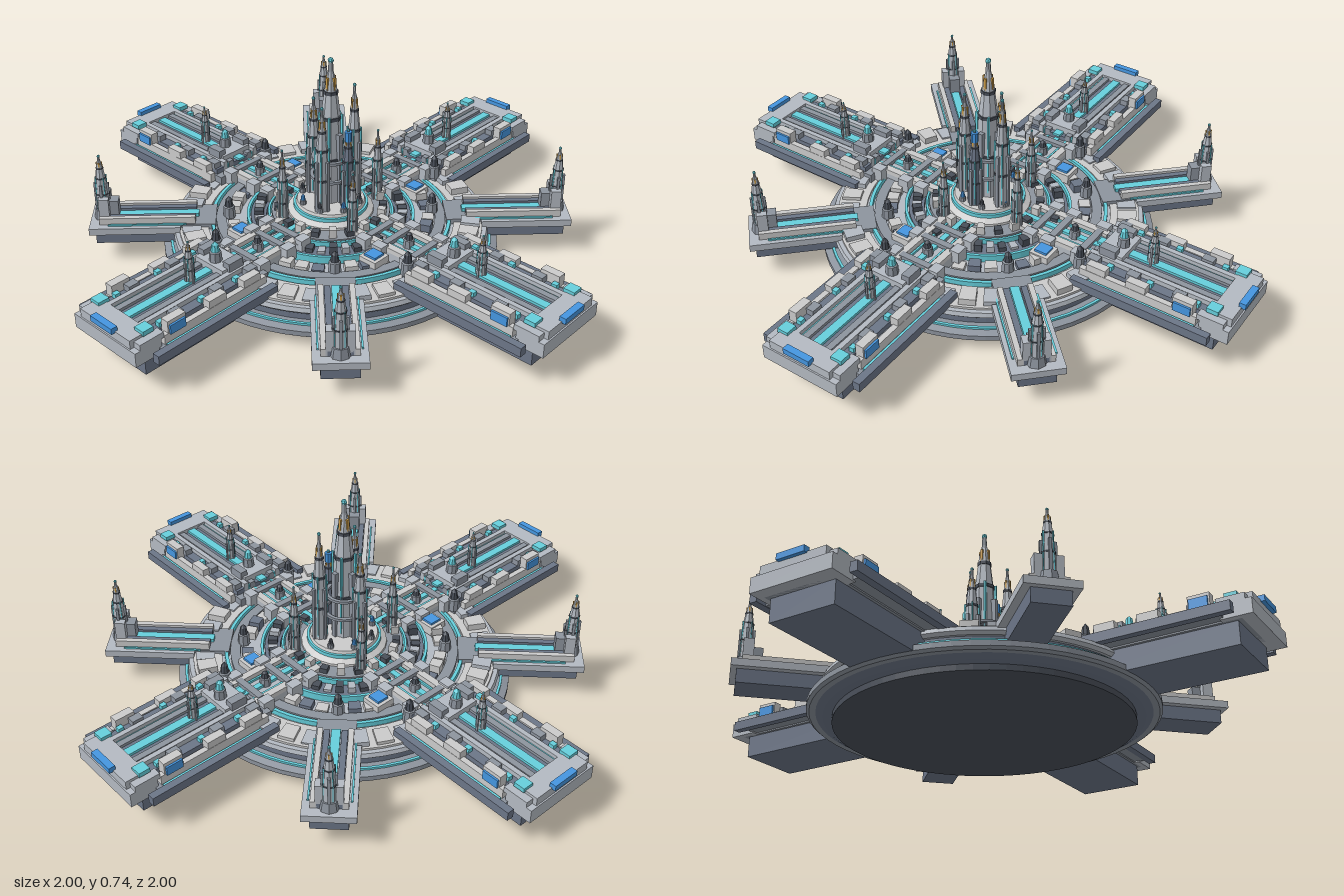
import * as THREE from 'three';

const mat = (color) => new THREE.MeshStandardMaterial({ color, flatShading: true });
const light = mat(0xcccccc), pale = mat(0xb4bac2), mid = mat(0x8d949e), slate = mat(0x6c7688);
const dark = mat(0x4a505a), cyan = mat(0x66cfdc), blue = mat(0x4596e0), gold = mat(0xc99a45);

function add(parent, name, geo, material, x = 0, y = 0, z = 0) {
  const m = new THREE.Mesh(geo, material);
  m.name = name;
  m.position.set(x, y, z);
  parent.add(m);
  return m;
}

// Box spanning y0..y1 and z0..z1, centred on x
function slab(parent, name, material, x, w, y0, y1, z0, z1) {
  return add(parent, name, new THREE.BoxGeometry(w, y1 - y0, z1 - z0), material, x, (y0 + y1) / 2, (z0 + z1) / 2);
}

// Mirrored pair of slabs
function pair(parent, name, material, x, ...rest) {
  for (const s of [-1, 1]) slab(parent, name, material, s * x, ...rest);
}

// Flat ring or ring sector between two radii
function ring(parent, name, material, r0, r1, y0, y1, a0 = 0, a1 = Math.PI * 2) {
  const s = new THREE.Shape();
  if (a1 - a0 > 6.28) {
    s.absarc(0, 0, r1, 0, Math.PI * 2);
    s.holes.push(new THREE.Path().absarc(0, 0, r0, 0, Math.PI * 2, true));
  } else {
    s.absarc(0, 0, r1, a0, a1, false);
    s.absarc(0, 0, r0, a1, a0, true);
  }
  const curveSegments = Math.max(3, Math.ceil((a1 - a0) * 5));
  const g = new THREE.ExtrudeGeometry(s, { depth: y1 - y0, bevelEnabled: false, curveSegments });
  return add(parent, name, g.rotateX(-Math.PI / 2), material, 0, y0, 0);
}

function lathe(parent, name, material, pts, sides, x = 0, y = 0, z = 0) {
  return add(parent, name, new THREE.LatheGeometry(pts.map((p) => new THREE.Vector2(...p)), sides), material, x, y, z);
}

// Tapered spire with ribs, collars, gold lights and a pointed cap
function spire(parent, name, x, z, y0, y1, r, body = pale) {
  const g = new THREE.Group(), h = y1 - y0;
  g.name = name;
  g.position.set(x, y0, z);
  parent.add(g);
  lathe(g, 'shaft', body, [[0, 0], [r, 0], [r * 0.95, h * 0.3], [r * 0.74, h * 0.62], [r * 0.5, h * 0.78],
    [r * 0.42, h * 0.84], [r * 0.2, h * 0.91], [r * 0.18, h * 0.97], [0, h]], 8);
  for (let i = 0; i < 4; i++) {
    const q = new THREE.Group();
    q.rotation.y = i * Math.PI / 2;
    g.add(q);
    slab(q, 'rib', mid, 0, r * 0.4, 0, h * 0.5, r * 0.7, r * 1.12);
    slab(q, 'lightStrip', cyan, r * 0.5, r * 0.13, h * 0.05, h * 0.62, r * 0.62, r * 0.82);
    slab(q, 'window', gold, 0, r * 0.22, h * 0.79, h * 0.87, r * 0.3, r * 0.46);
  }
  for (const [t, k] of [[0.32, 1.03], [0.6, 0.85], [0.77, 0.58]])
    add(g, 'collar', new THREE.CylinderGeometry(r * k, r * k, h * 0.022, 8), dark, 0, h * t, 0);
  add(g, 'beacon', new THREE.SphereGeometry(r * 0.24, 6, 4), cyan, 0, h - r * 0.26, 0);
  return g;
}

// Small domed turret
function turret(parent, x, z, y0, y1, r, cap = dark) {
  const h = y1 - y0;
  lathe(parent, 'turret', mid, [[0, 0], [r, 0], [r * 0.9, h * 0.5], [r * 0.6, h * 0.55], [0, h * 0.6]], 8, x, y0, z);
  lathe(parent, 'turretCap', cap, [[0, h * 0.5], [r * 0.7, h * 0.52], [r * 0.5, h * 0.85], [0, h]], 8, x, y0, z);
}

// Large pier, running outward along +z
function pier() {
  const g = new THREE.Group();
  g.name = 'pier';
  slab(g, 'hull', slate, 0, 0.23, 0.04, 0.115, 0.4, 0.935);
  slab(g, 'deck', mid, 0, 0.25, 0.115, 0.16, 0.43, 0.95);
  slab(g, 'endDeck', pale, 0, 0.29, 0.115, 0.165, 0.89, 0.99);
  slab(g, 'endBlock', pale, 0, 0.235, 0.165, 0.195, 0.91, 0.985);
  slab(g, 'endWindow', blue, 0, 0.1, 0.19, 0.21, 0.975, 0.998);
  pair(g, 'endHorn', pale, 0.13, 0.03, 0.165, 0.185, 0.88, 0.97);
  pair(g, 'cornerLight', cyan, 0.105, 0.04, 0.19, 0.206, 0.9, 0.94);
  pair(g, 'sideSkirt', slate, 0.177, 0.026, 0.118, 0.15, 0.45, 0.94);
  pair(g, 'skirtBracket', mid, 0.14, 0.06, 0.12, 0.138, 0.47, 0.9);
  pair(g, 'sideStrip', cyan, 0.158, 0.008, 0.138, 0.146, 0.5, 0.88);
  pair(g, 'outerWall', light, 0.138, 0.02, 0.138, 0.172, 0.46, 0.88);
  pair(g, 'terrace', slate, 0.1, 0.035, 0.16, 0.178, 0.46, 0.91);
  pair(g, 'innerWall', pale, 0.074, 0.018, 0.16, 0.195, 0.46, 0.92);
  pair(g, 'innerRail', mid, 0.045, 0.022, 0.16, 0.188, 0.46, 0.92);
  pair(g, 'trackLight', cyan, 0.06, 0.006, 0.16, 0.183, 0.46, 0.92);
  slab(g, 'avenue', slate, 0, 0.07, 0.16, 0.178, 0.46, 0.92);
  slab(g, 'avenueLight', cyan, 0, 0.03, 0.178, 0.187, 0.45, 0.92);
  // Buildings along both walls
  for (const z of [0.52, 0.665, 0.83]) {
    pair(g, 'wallHouse', light, 0.132, 0.03, 0.165, z === 0.83 ? 0.213 : 0.198, z - 0.035, z + 0.035);
    pair(g, 'wallRoof', mid, 0.104, 0.03, 0.178, 0.2, z - 0.05, z - 0.01);
    pair(g, 'wallLamp', cyan, 0.104, 0.018, 0.178, 0.194, z + 0.02, z + 0.04);
  }
  pair(g, 'sideWindow', blue, 0.15, 0.008, 0.168, 0.2, 0.8, 0.86);
  // Gatehouse and spires
  slab(g, 'gatehouse', pale, 0, 0.13, 0.16, 0.205, 0.48, 0.57);
  pair(g, 'gateTower', mid, 0.06, 0.03, 0.16, 0.225, 0.49, 0.55);
  turret(g, 0, 0.54, 0.2, 0.275, 0.022, cyan);
  spire(g, 'pierSpire', 0, 0.65, 0.178, 0.33, 0.017);
  turret(g, -0.11, 0.44, 0.14, 0.23, 0.022);
  return g;
}

// Causeway from the centre to a pier, with the plaza buildings beside it
function causeway() {
  const g = new THREE.Group();
  g.name = 'causeway';
  slab(g, 'road', pale, 0, 0.15, 0.11, 0.155, 0.13, 0.47);
  pair(g, 'roadWall', light, 0.062, 0.026, 0.155, 0.172, 0.17, 0.45);
  pair(g, 'roadStrip', cyan, 0.038, 0.007, 0.155, 0.163, 0.14, 0.47);
  slab(g, 'roadLight', cyan, 0, 0.02, 0.155, 0.165, 0.14, 0.47);
  for (const z of [0.23, 0.3, 0.42]) {
    pair(g, 'roadHouse', pale, 0.085, 0.036, 0.13, 0.18, z - 0.022, z + 0.022);
    slab(g, 'roadBridge', mid, 0, 0.12, 0.16, 0.175, z - 0.012, z + 0.012);
  }
  turret(g, 0, 0.355, 0.155, 0.212, 0.02);
  slab(g, 'landingBlock', light, -0.125, 0.07, 0.125, 0.16, 0.275, 0.345);
  slab(g, 'landingPad', blue, -0.125, 0.045, 0.16, 0.168, 0.287, 0.333);
  return g;
}

// Narrow pier between the large ones, running outward along +z
function smallPier() {
  const g = new THREE.Group();
  g.name = 'smallPier';
  slab(g, 'hull', slate, 0, 0.12, 0.068, 0.118, 0.4, 0.815);
  slab(g, 'deck', pale, 0, 0.17, 0.115, 0.14, 0.52, 0.834);
  slab(g, 'deckRoot', mid, 0, 0.13, 0.115, 0.14, 0.4, 0.53);
  pair(g, 'wall', light, 0.05, 0.018, 0.14, 0.165, 0.47, 0.8);
  pair(g, 'rail', slate, 0.029, 0.02, 0.14, 0.158, 0.47, 0.8);
  pair(g, 'edgeStrip', cyan, 0.067, 0.006, 0.14, 0.146, 0.5, 0.77);
  slab(g, 'avenueLight', cyan, 0, 0.03, 0.14, 0.152, 0.46, 0.8);
  add(g, 'spireBase', new THREE.CylinderGeometry(0.028, 0.034, 0.035, 8), mid, 0, 0.157, 0.79);
  spire(g, 'smallPierSpire', 0, 0.79, 0.165, 0.385, 0.023);
  pair(g, 'spireHouse', pale, 0.032, 0.024, 0.14, 0.23, 0.765, 0.8);
  slab(g, 'spireAnnex', mid, 0, 0.04, 0.14, 0.21, 0.735, 0.77);
  turret(g, 0, 0.355, 0.13, 0.212, 0.022);
  return g;
}

export function createModel() {
  const city = new THREE.Group();
  city.name = 'floatingCity';

  // Round platform with stepped rims
  lathe(city, 'keel', dark, [[0, 0], [0.5, 0], [0.5, 0.022], [0, 0.022]], 64);
  lathe(city, 'underRim', slate, [[0, 0.018], [0.53, 0.02], [0.56, 0.035], [0, 0.035]], 64);
  lathe(city, 'lowerRim', mid, [[0, 0.032], [0.575, 0.032], [0.585, 0.04], [0.585, 0.058], [0.56, 0.066], [0, 0.066]], 64);
  lathe(city, 'platform', slate, [[0, 0.06], [0.53, 0.06], [0.53, 0.1], [0, 0.1]], 64);
  lathe(city, 'plaza', pale, [[0, 0.095], [0.54, 0.095], [0.55, 0.105], [0.545, 0.12], [0, 0.12]], 64);
  ring(city, 'rimLight', cyan, 0.553, 0.562, 0.06, 0.073);

  // Concentric terraces and light rings
  ring(city, 'outerTerrace', light, 0.43, 0.53, 0.12, 0.128);
  ring(city, 'ringLight', cyan, 0.408, 0.42, 0.12, 0.138);
  ring(city, 'middleTerrace', mid, 0.365, 0.4, 0.12, 0.136);
  ring(city, 'innerLight', cyan, 0.284, 0.294, 0.12, 0.146);
  ring(city, 'innerTerrace', slate, 0.225, 0.28, 0.12, 0.14);
  ring(city, 'courtLight', cyan, 0.212, 0.22, 0.12, 0.155);
  ring(city, 'court', mid, 0.15, 0.207, 0.12, 0.157);

  // Blocks arranged in circles, clear of the causeways
  for (let i = 0; i < 40; i++) {
    const a = i * Math.PI / 20, off = i % 10, tall = (i * 7) % 4 * 0.006;
    if (off > 1 && off < 9 && off !== 5) {
      ring(city, 'outerBlock', i % 2 ? light : pale, 0.455, 0.52, 0.125, 0.134 + tall, a - 0.055, a + 0.055);
      ring(city, 'middleBlock', i % 3 ? light : slate, 0.32, 0.36, 0.12, 0.137 + tall, a - 0.06, a + 0.06);
    }
    ring(city, 'innerBlock', i % 2 ? dark : pale, 0.235, 0.268, 0.135, 0.15 + tall, a - 0.05, a + 0.05);
    if (i % 2) ring(city, 'courtBlock', i % 4 === 1 ? light : dark, 0.17, 0.197, 0.15, 0.17 + tall, a - 0.07, a + 0.07);
  }

  // Four large piers and four small ones
  for (let i = 0; i < 4; i++) {
    const q = new THREE.Group();
    q.name = 'quarter';
    q.rotation.y = i * Math.PI / 2;
    const s = smallPier();
    s.rotation.y = Math.PI / 4;
    q.add(pier(), causeway(), s);
    spire(q, 'courtSpire', -0.07, 0.165, 0.13, i % 2 ? 0.43 : 0.39, 0.019);
    city.add(q);
  }

  // Central citadel
  lathe(city, 'plinth', light, [[0, 0.12], [0.155, 0.12], [0.15, 0.165], [0.125, 0.18], [0.118, 0.2], [0, 0.2]], 24);
  ring(city, 'plinthLight', cyan, 0.122, 0.13, 0.17, 0.19);
  spire(city, 'mainSpire', 0, 0, 0.19, 0.735, 0.044);
  spire(city, 'rightSpire', 0.08, 0.035, 0.19, 0.625, 0.027);
  spire(city, 'leftSpire', -0.075, 0.03, 0.19, 0.59, 0.027);
  spire(city, 'backSpire', 0, -0.08, 0.19, 0.565, 0.027);
  spire(city, 'frontSpire', 0, 0.08, 0.19, 0.5, 0.025, slate);
  add(city, 'frontLantern', new THREE.CylinderGeometry(0.013, 0.013, 0.035, 8), blue, 0, 0.47, 0.08);
  for (const [y, r] of [[0.29, 0.072], [0.36, 0.066]]) ring(city, 'skyWalk', mid, r - 0.012, r, y, y + 0.01);
  for (let i = 0; i < 8; i++) {
    const a = (i + 0.5) * Math.PI / 4;
    turret(city, Math.sin(a) * 0.105, Math.cos(a) * 0.105, 0.19, 0.24, 0.012, i % 2 ? blue : dark);
  }
  return city;
}
